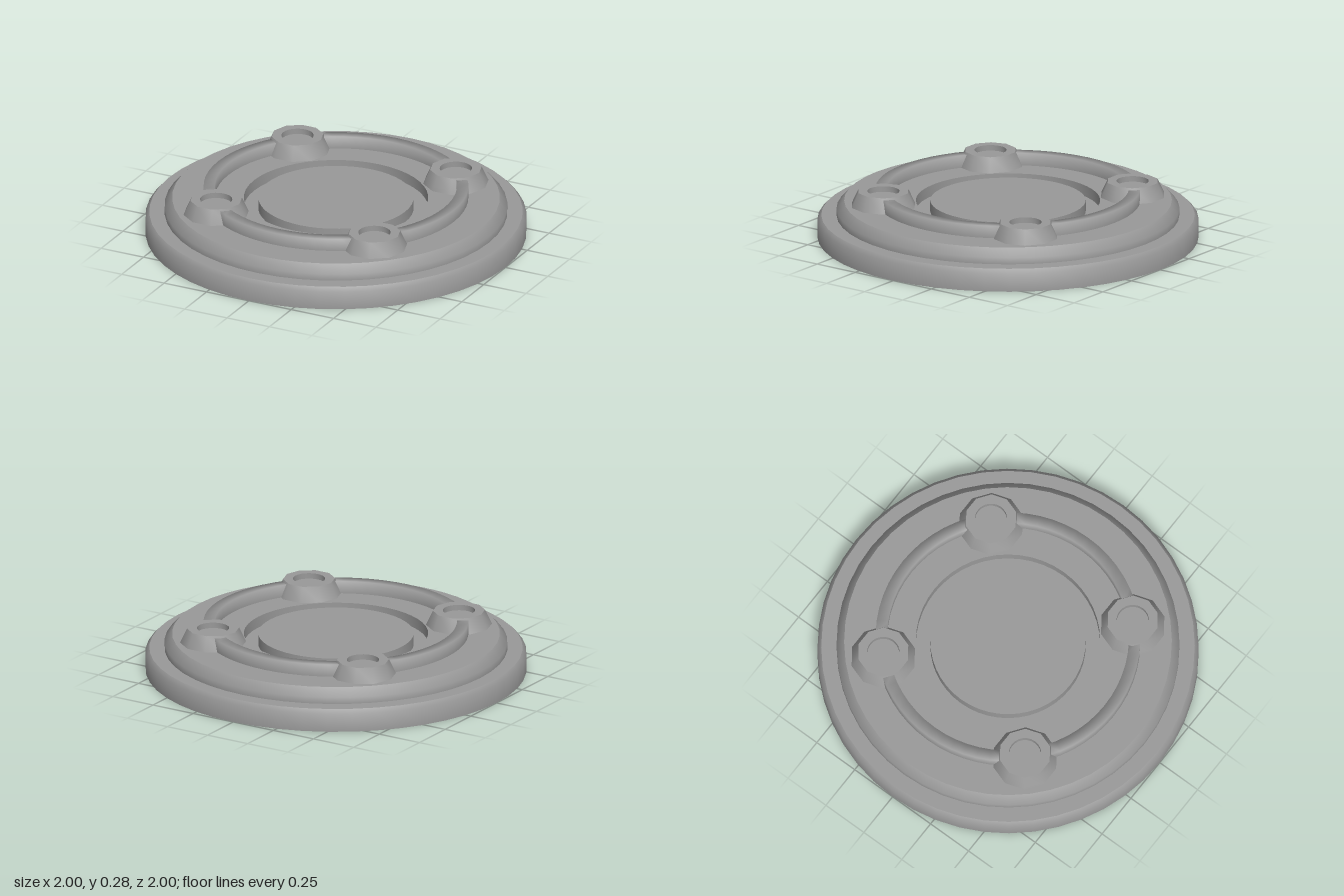
import * as THREE from 'three';
import { toCreasedNormals } from 'three/addons/utils/BufferGeometryUtils.js';

const TURN = Math.PI * 2;
const material = new THREE.MeshStandardMaterial({ color: 0x999999, side: THREE.DoubleSide });

function addMesh(parent, name, geometry, crease = 0.78) {
  const mesh = new THREE.Mesh(toCreasedNormals(geometry, crease), material);
  mesh.name = name;
  parent.add(mesh);
}

function lathe(profile, sides, start = 0, length = TURN) {
  return new THREE.LatheGeometry(profile.map(([r, y]) => new THREE.Vector2(r, y)), sides, start, length);
}

// Ten-sided tapered boss with a round, shallow socket in its top
function createBoss() {
  const boss = new THREE.Group();
  boss.name = 'boss';
  const sides = 10, bottomR = 0.178, topR = 0.137, holeR = 0.085;
  const baseY = 0.19, topY = 0.278, floorY = 0.248;

  addMesh(boss, 'bossSide', lathe([[bottomR, baseY], [topR, topY]], sides, Math.PI / 2));

  const corners = Array.from({ length: sides }, (_, i) => {
    const a = (i / sides) * TURN;
    return new THREE.Vector2(topR * Math.cos(a), topR * Math.sin(a));
  });
  const face = new THREE.Shape(corners);
  face.holes.push(new THREE.Path().absarc(0, 0, holeR, 0, TURN, true));
  addMesh(boss, 'bossTop', new THREE.ShapeGeometry(face, 12).rotateX(-Math.PI / 2).translate(0, topY, 0));

  addMesh(boss, 'bossSocket', lathe([[holeR, topY], [holeR, floorY], [0, floorY]], 24));
  return boss;
}

export function createModel() {
  const model = new THREE.Group();
  model.name = 'roundCover';

  // Hollow stepped shell, open below, with a groove around the centre disc
  addMesh(model, 'shell', lathe([
    [1, 0], [1, 0.098], [0.98, 0.12], [0.9, 0.12], [0.9, 0.156], [0.86, 0.2],
    [0.484, 0.2], [0.484, 0.14], [0.408, 0.14], [0.408, 0.2], [0, 0.2],
  ], 48));

  // Four softly shaded ring arcs, each ending inside the bosses beside it
  const gap = 0.17;
  const ringProfile = [[0.695, 0.198], [0.695, 0.267], [0.635, 0.267], [0.635, 0.198]];
  for (let i = 0; i < 4; i++) {
    const start = Math.PI / 4 + (i * Math.PI) / 2 + gap;
    addMesh(model, 'ringArc', lathe(ringProfile, 12, start, Math.PI / 2 - 2 * gap), 1.6);
  }

  // Four bosses, one per quadrant
  for (const x of [-1, 1]) {
    for (const z of [-1, 1]) {
      const boss = createBoss();
      boss.position.set(0.467 * x, 0, 0.467 * z);
      model.add(boss);
    }
  }
  return model;
}
